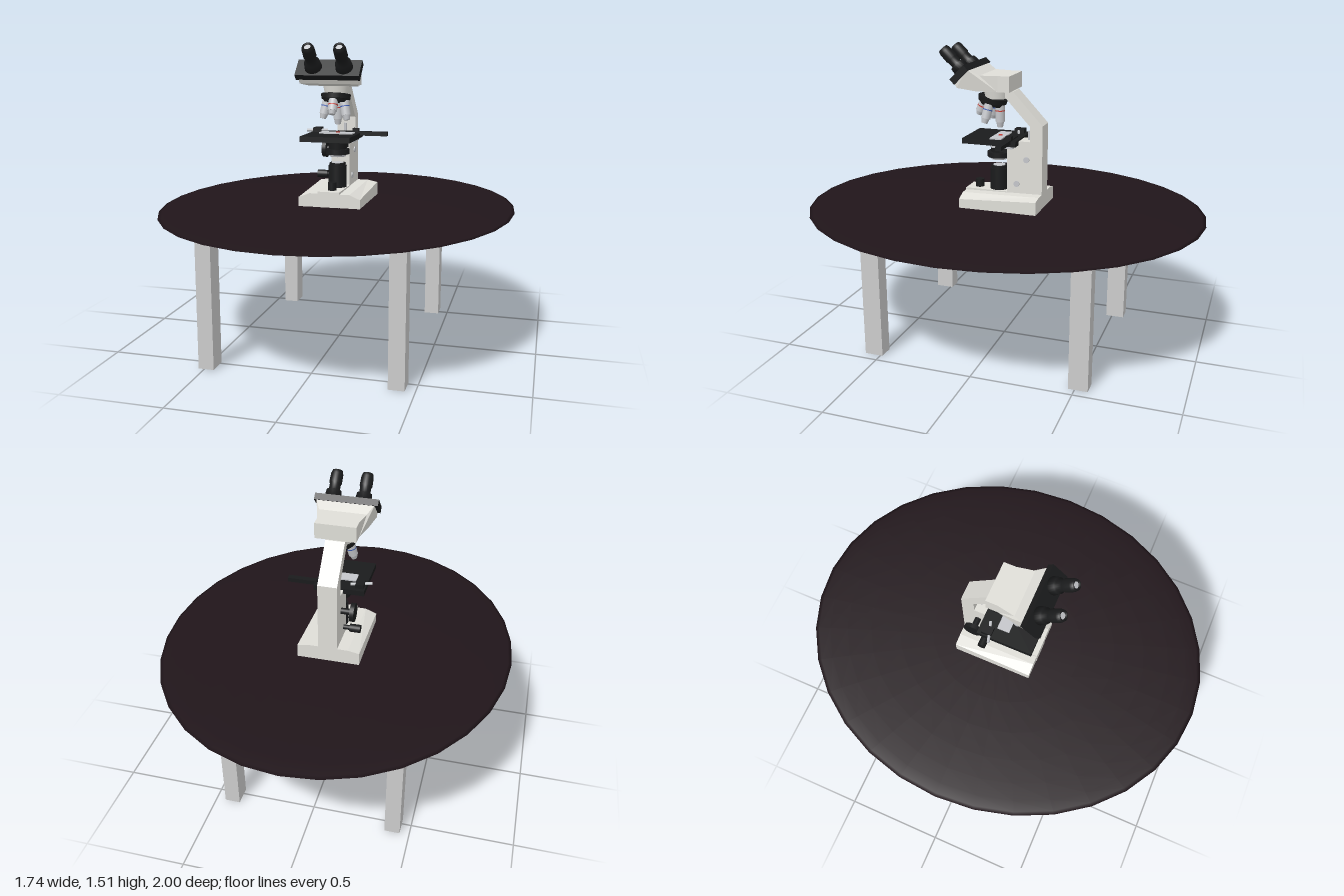
import * as THREE from 'three';

const mat = (color) => new THREE.MeshStandardMaterial({ color });

export function createModel() {
  const root = new THREE.Group();
  const grey = mat(0xcccccc), wood = mat(0x20151a), black = mat(0x1a1b1c);
  const cream = mat(0xdfded8), silver = mat(0xc4c6ca), red = mat(0xc83a32), blue = mat(0x3f5fb5);

  const add = (parent, name, geo, m, x = 0, y = 0, z = 0) => {
    const mesh = new THREE.Mesh(geo, m);
    mesh.name = name;
    mesh.position.set(x, y, z);
    parent.add(mesh);
    return mesh;
  };
  // Box given by its limits on each axis
  const box = (parent, name, m, x0, x1, y0, y1, z0, z1) =>
    add(parent, name, new THREE.BoxGeometry(x1 - x0, y1 - y0, z1 - z0), m,
      (x0 + x1) / 2, (y0 + y1) / 2, (z0 + z1) / 2);
  // Upright cylinder between two heights
  const cyl = (parent, name, m, rTop, rBot, y0, y1, x = 0, z = 0) =>
    add(parent, name, new THREE.CylinderGeometry(rTop, rBot, y1 - y0, 24), m, x, (y0 + y1) / 2, z);
  // Cylinder lying along x
  const rod = (parent, name, m, r, x0, x1, y, z) => {
    const mesh = add(parent, name, new THREE.CylinderGeometry(r, r, x1 - x0, 20), m, (x0 + x1) / 2, y, z);
    mesh.rotation.z = Math.PI / 2;
    return mesh;
  };
  // Side profile of [z, y] points extruded across x
  const sideExtrude = (pts, width) => {
    const shape = new THREE.Shape(pts.map((p) => new THREE.Vector2(...p)));
    const geo = new THREE.ExtrudeGeometry(shape, { depth: width, bevelEnabled: false });
    return geo.translate(0, 0, -width / 2).rotateY(-Math.PI / 2);
  };

  // Table: thin oval top and four square legs
  const table = new THREE.Group();
  table.name = 'table';
  root.add(table);
  add(table, 'tableTop', new THREE.SphereGeometry(1, 32, 16), wood, 0, 0.7, 0).scale.set(0.87, 0.021, 1);
  for (const [x, z] of [[0.415, 0.535], [0.415, -0.516], [-0.491, 0.535], [-0.415, -0.516]])
    box(table, 'tableLeg', grey, x - 0.038, x + 0.038, 0, 0.695, z - 0.047, z + 0.047);

  const scope = new THREE.Group();
  scope.name = 'microscope';
  root.add(scope);

  // Base: outer edges slope down, more so toward the front
  const baseShape = new THREE.Shape([[-0.156, 0.715], [0.152, 0.715], [0.152, 0.785], [0.1, 0.795],
    [-0.1, 0.795], [-0.156, 0.785]].map((p) => new THREE.Vector2(...p)));
  const baseGeo = new THREE.ExtrudeGeometry(baseShape, { depth: 0.395, bevelEnabled: false });
  baseGeo.translate(0, 0, -0.21);
  const bp = baseGeo.attributes.position;
  for (let i = 0; i < bp.count; i++)
    if (bp.getZ(i) > 0 && bp.getY(i) > 0.75) bp.setY(i, bp.getY(i) - (Math.abs(bp.getX(i)) > 0.12 ? 0.02 : 0.008));
  baseGeo.computeVertexNormals();
  add(scope, 'base', baseGeo, cream);
  box(scope, 'baseDeck', cream, -0.058, 0.05, 0.72, 0.797, -0.03, 0.187);

  // Arm: wide lower column and a slim raked upper part
  add(scope, 'arm', sideExtrude([[-0.03, 0.79], [-0.03, 1.055], [-0.147, 1.055], [-0.147, 1.13],
    [-0.02, 1.265], [-0.02, 1.298], [-0.06, 1.296], [-0.21, 1.137], [-0.21, 0.79]], 0.094), cream);
  cyl(scope, 'stageStopPost', silver, 0.007, 0.007, 1.05, 1.1, 0, -0.13);

  // Head: side profile that flares in width toward the eyepieces
  const headGeo = sideExtrude([[-0.058, 1.298], [-0.058, 1.375], [0, 1.375], [0.085, 1.375],
    [0.14, 1.405], [0.205, 1.34], [0.19, 1.315], [0.1, 1.3], [0, 1.298]], 2);
  const hp = headGeo.attributes.position;
  for (let i = 0; i < hp.count; i++) {
    const t = THREE.MathUtils.clamp(hp.getZ(i) / 0.14, 0, 1);
    hp.setX(i, hp.getX(i) * (0.1 + 0.043 * t * t));
  }
  headGeo.computeVertexNormals();
  add(scope, 'head', headGeo, cream);
  cyl(scope, 'nosepieceMount', cream, 0.068, 0.06, 1.255, 1.3, 0, 0.035);

  // Eyepiece block, tilted 45 degrees toward the viewer
  const eyes = new THREE.Group();
  eyes.name = 'eyepieceBlock';
  eyes.position.set(0, 1.378, 0.175);
  eyes.rotation.x = Math.PI / 4;
  scope.add(eyes);
  box(eyes, 'eyepiecePlate', black, -0.158, 0.153, -0.015, 0.018, -0.05, 0.05);
  for (const s of [-1, 1]) {
    const profile = [[0, 0], [0.042, 0], [0.037, 0.04], [0.027, 0.042], [0.027, 0.075], [0.031, 0.08],
      [0.03, 0.125], [0.025, 0.142], [0.017, 0.142], [0.015, 0.135]];
    const geo = new THREE.LatheGeometry(profile.map((p) => new THREE.Vector2(...p)), 24);
    const tube = add(eyes, 'eyepiece', geo, black, s * 0.075, 0.015, 0);
    tube.material.side = THREE.DoubleSide;
    cyl(eyes, 'eyepieceLens', silver, 0.016, 0.016, 0.13, 0.152, s * 0.075, 0);
  }

  // Revolving nosepiece with four splayed objectives
  const turret = new THREE.Group();
  turret.name = 'revolvingNosepiece';
  turret.position.set(0, 1.242, 0.06);
  turret.rotation.x = -0.2;
  scope.add(turret);
  cyl(turret, 'turretDisc', black, 0.073, 0.07, -0.008, 0.016);
  cyl(turret, 'turretHub', black, 0.062, 0.055, -0.024, -0.008);
  const bands = [red, blue, red, blue], lengths = [0.075, 0.095, 0.11, 0.09];
  for (let i = 0; i < 4; i++) {
    const a = i * Math.PI / 2, len = lengths[i];
    const holder = new THREE.Group();
    holder.name = 'objective';
    holder.rotation.y = a;
    turret.add(holder);
    const lens = new THREE.Group();
    lens.position.set(0, -0.015, 0.042);
    lens.rotation.x = -0.2;
    holder.add(lens);
    cyl(lens, 'objectiveBarrel', silver, 0.023, 0.023, -len * 0.75, 0);
    cyl(lens, 'objectiveBand', bands[i], 0.0235, 0.0235, -0.03, -0.025);
    cyl(lens, 'objectiveTip', silver, 0.02, 0.014, -len, -len * 0.75);
  }

  // Stage with slide carrier, drive bar and clip lever
  box(scope, 'stage', black, -0.147, 0.1, 1.036, 1.062, -0.09, 0.185);
  box(scope, 'stageBracket', black, -0.04, 0.04, 0.99, 1.04, -0.05, 0.03);
  box(scope, 'driveBar', black, -0.02, 0.235, 1.048, 1.068, -0.065, -0.035);
  box(scope, 'slideCarrier', black, -0.14, -0.1, 1.06, 1.083, -0.07, -0.02);
  box(scope, 'carrierKnob', black, 0.06, 0.09, 1.06, 1.083, -0.065, -0.035);
  box(scope, 'glassSlide', silver, -0.09, 0.08, 1.06, 1.068, -0.01, 0.05);
  cyl(scope, 'specimen', red, 0.01, 0.01, 1.066, 1.071, 0, 0.02);
  rod(scope, 'clipLever', silver, 0.007, -0.175, -0.07, 1.07, -0.035).rotation.y = 0.3;
  box(scope, 'stageSlide', silver, 0.04, 0.085, 1.022, 1.036, -0.07, 0.04);

  // Condenser below the stage and lamp on the base
  cyl(scope, 'condenser', black, 0.047, 0.042, 0.985, 1.04, 0, 0.025);
  cyl(scope, 'condenserRing', black, 0.058, 0.058, 0.962, 0.987, 0, 0.027);
  cyl(scope, 'condenserLens', silver, 0.045, 0.04, 0.95, 0.962, 0, 0.027);
  cyl(scope, 'lampHousing', black, 0.045, 0.045, 0.79, 0.905, 0, 0.026);
  cyl(scope, 'lampCollar', black, 0.04, 0.04, 0.905, 0.918, 0, 0.026);
  cyl(scope, 'lampLens', silver, 0.03, 0.03, 0.917, 0.92, 0, 0.026);
  cyl(scope, 'dimmerKnob', black, 0.021, 0.021, 0.79, 0.836, 0, 0.13);

  // Focus knobs on one side, axle caps on the other
  rod(scope, 'coarseKnob', black, 0.045, -0.116, -0.095, 0.965, -0.13);
  rod(scope, 'coarseAxle', black, 0.015, -0.1, -0.04, 0.965, -0.13);
  rod(scope, 'coarseCap', silver, 0.015, 0.04, 0.052, 0.965, -0.13);
  rod(scope, 'fineKnob', black, 0.02, -0.132, -0.08, 0.84, -0.08);
  rod(scope, 'fineAxle', black, 0.012, -0.09, -0.04, 0.84, -0.08);
  rod(scope, 'fineCap', silver, 0.015, 0.04, 0.052, 0.84, -0.08);

  return root;
}
